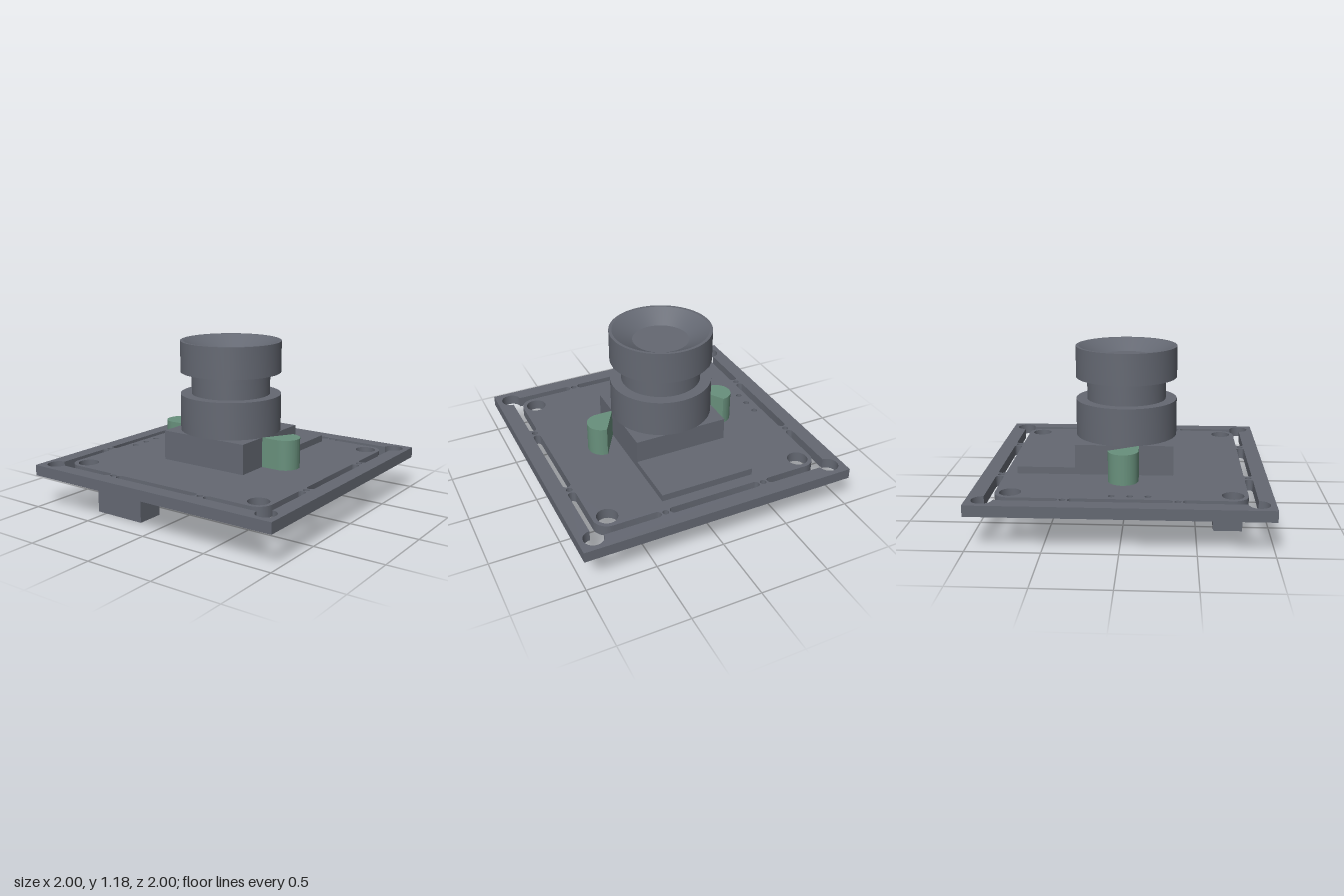
import * as THREE from 'three';
import { toCreasedNormals } from 'three/addons/utils/BufferGeometryUtils.js';

const PI = Math.PI;

export function createModel() {
  const group = new THREE.Group();
  const grey = new THREE.MeshStandardMaterial({ color: 0x646872 });
  grey.name = 'slate grey';
  const green = new THREE.MeshStandardMaterial({ color: 0x68907c });
  green.name = 'muted green';

  const add = (name, geometry, material, x = 0, y = 0, z = 0) => {
    const mesh = new THREE.Mesh(toCreasedNormals(geometry, 0.45), material);
    mesh.name = name;
    mesh.position.set(x, y, z);
    group.add(mesh);
    return mesh;
  };
  // Box given by its limits on each axis
  const box = (name, material, [x0, x1], [y0, y1], [z0, z1]) =>
    add(name, new THREE.BoxGeometry(x1 - x0, y1 - y0, z1 - z0), material,
      (x0 + x1) / 2, (y0 + y1) / 2, (z0 + z1) / 2);

  // Circuit board with break-away frame: shape y becomes z
  const board = new THREE.Shape([[-1, -1], [1, -1], [1, 1], [-1, 1]].map(p => new THREE.Vector2(...p)));
  const roundHole = (x, z, r) => board.holes.push(new THREE.Path().absarc(x, z, r, 0, 2 * PI));

  // L-shaped corner slot ending in a round relief hole
  const corner = new THREE.Path();
  corner.moveTo(0.433, 0.837);
  corner.absarc(0.735, 0.735, 0.102, PI / 2, 0, true);
  corner.absarc(0.865, 0.433, 0.028, PI, 2 * PI);
  corner.absarc(0.893, 0.893, 0.07, -PI / 2, PI);
  corner.absarc(0.433, 0.865, 0.028, PI / 2, 1.5 * PI);
  const cornerPoints = corner.getPoints(12);
  cornerPoints.pop();

  // Straight slot in the middle of each edge
  const slot = new THREE.Path();
  slot.absarc(0.312, 0.865, 0.028, -PI / 2, PI / 2);
  slot.absarc(-0.312, 0.865, 0.028, PI / 2, 1.5 * PI);
  const slotPoints = slot.getPoints(12);

  for (const s of [-1, 1]) {
    for (const t of [-1, 1]) {
      board.holes.push(new THREE.Path(cornerPoints.map(p => new THREE.Vector2(p.x * s, p.y * t))));
      roundHole(0.735 * s, 0.735 * t, 0.073);
      roundHole(0.373 * s, 0.865 * t, 0.022);
      roundHole(0.865 * s, 0.373 * t, 0.022);
    }
    board.holes.push(new THREE.Path(slotPoints.map(p => new THREE.Vector2(p.x, p.y * s))));
    board.holes.push(new THREE.Path(slotPoints.map(p => new THREE.Vector2(p.y * s, p.x))));
  }
  for (const z of [-0.06, 0.06, 0.18]) roundHole(-0.78, z, 0.022);
  const boardGeometry = new THREE.ExtrudeGeometry(board, { depth: 0.077, bevelEnabled: false, curveSegments: 14 });
  add('circuitBoard', boardGeometry.rotateX(PI / 2), grey, 0, 0.315, 0);

  // Lens holder and the flat tab behind it
  box('lensHolder', grey, [-0.345, 0.345], [0.315, 0.53], [-0.345, 0.345]);
  box('flatTab', grey, [-0.345, 0.345], [0.315, 0.365], [-0.755, -0.345]);

  // Lens barrel with waist and dished front
  const barrel = [[0, 0.53], [0.365, 0.53], [0.365, 0.795], [0.285, 0.795], [0.285, 0.955],
    [0.365, 0.955], [0.365, 1.18], [0.343, 1.18], [0.2, 1.1], [0, 1.1]];
  add('lensBarrel', new THREE.LatheGeometry(barrel.map(p => new THREE.Vector2(...p)), 64), grey);

  // Holder ears above the board and rounded pins below
  const pin = new THREE.Path();
  pin.moveTo(0, 0.162);
  pin.lineTo(0.05, 0.162);
  pin.absarc(0.05, 0.197, 0.035, -PI / 2, 0);
  pin.lineTo(0.085, 0.24);
  for (const s of [-1, 1]) {
    const ear = new THREE.Shape();
    ear.moveTo(0.345 * s, -0.105);
    ear.absarc(0.47 * s, 0, 0.105, -PI / 2, PI / 2, s < 0);
    ear.lineTo(0.345 * s, 0.105);
    const earGeometry = new THREE.ExtrudeGeometry(ear, { depth: 0.215, bevelEnabled: false, curveSegments: 24 });
    const side = s > 0 ? 'left' : 'right';
    add(side + 'HolderEar', earGeometry.rotateX(PI / 2), green, 0, 0.53, 0);
    add(side + 'Pin', new THREE.LatheGeometry(pin.getPoints(6), 32), green, 0.47 * s, 0, 0);
  }

  // Sensor seat under the board with its green cover
  const seat = new THREE.CylinderGeometry(0.23 * Math.SQRT2, 0.18 * Math.SQRT2, 0.055, 4).rotateY(PI / 4);
  add('sensorSeat', seat, grey, 0, 0.2115, 0);
  box('sensorCover', green, [-0.18, 0.18], [0.16, 0.184], [-0.18, 0.18]);

  // Small chip with sloping sides, a section run along x
  const section = [[0.55, 0.239], [0.24, 0.239], [0.295, 0.188], [0.295, 0.162], [0.503, 0.162], [0.503, 0.188]];
  const chip = new THREE.ExtrudeGeometry(new THREE.Shape(section.map(p => new THREE.Vector2(...p))),
    { depth: 0.26, bevelEnabled: false });
  add('smallChip', chip.rotateY(-PI / 2), grey, 0.775, 0, 0);

  // Cable connector
  box('connector', grey, [-0.57, -0.175], [0, 0.239], [0.62, 0.818]);

  return group;
}
